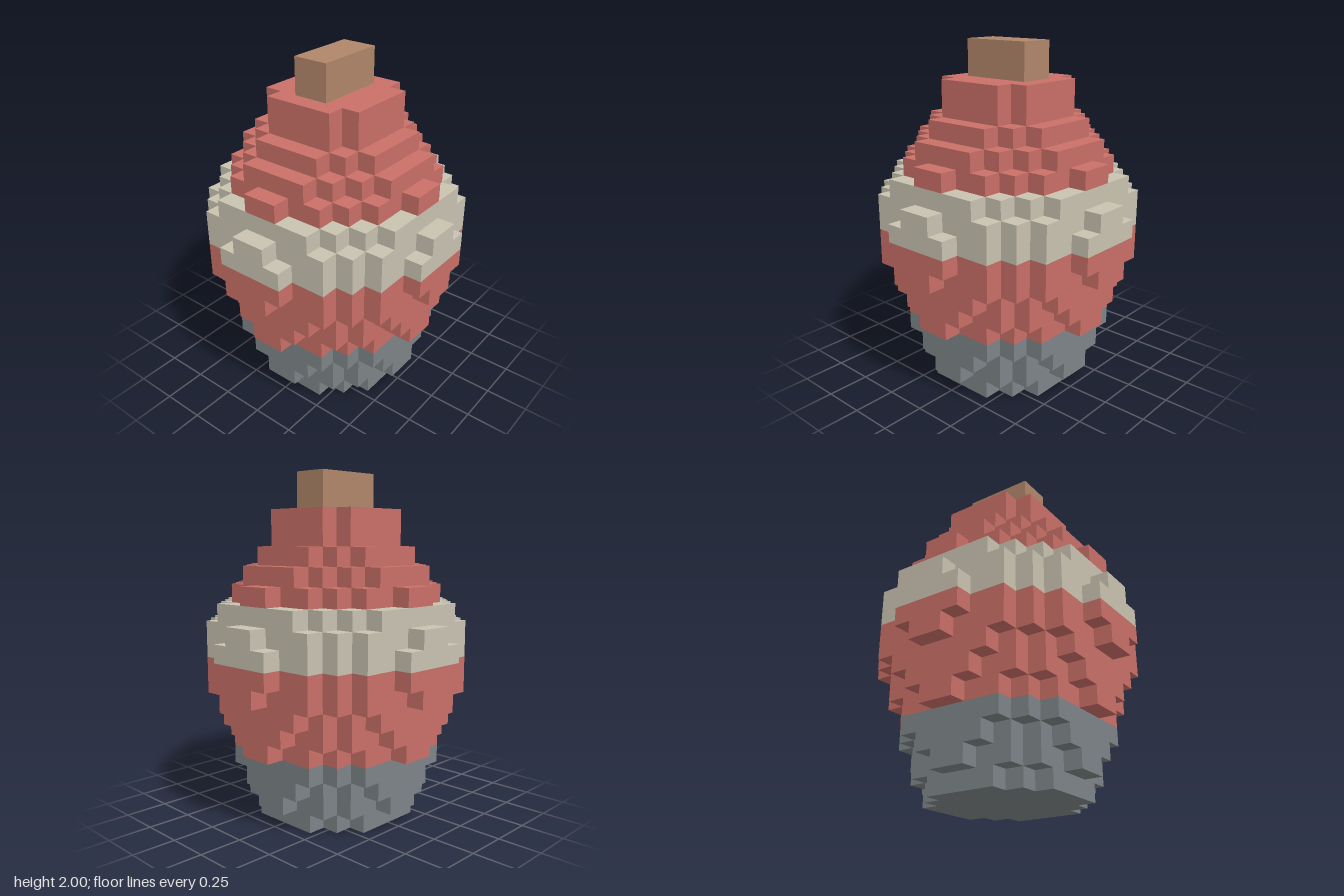
import * as THREE from 'three';

const U = 2 / 19; // edge length of one block

// Stepped disc outline: every block whose centre lies within the squared radius
function discShape(r2) {
  const depth = [];
  for (let i = 0; ; i++) {
    let d = 0;
    while ((i + 0.5) ** 2 + (d + 0.5) ** 2 <= r2) d++;
    if (!d) break;
    depth.push(d);
  }
  const corners = [];
  depth.forEach((d, i) => {
    if (i > 0 && d !== depth[i - 1]) corners.push([i, d]);
    if (d !== depth[i + 1]) corners.push([i + 1, d]);
  });
  // Turn the quarter outline round all four sides
  const points = [];
  let quarter = corners;
  for (let q = 0; q < 4; q++) {
    quarter.forEach(([x, y]) => points.push(new THREE.Vector2(x * U, y * U)));
    quarter = quarter.map(([x, y]) => [y, -x]);
  }
  return new THREE.Shape(points);
}

function material(name, color) {
  const m = new THREE.MeshStandardMaterial({ color });
  m.name = name;
  return m;
}

export function createModel() {
  const model = new THREE.Group();
  model.name = 'ornament';
  const red = material('red', 0xc96f67);
  const cream = material('cream', 0xc8c2b0);
  const grey = material('grey', 0x7d8487);
  const brown = material('brown', 0xb0866a);

  // Bands from the ground up: squared radius in blocks for each layer
  const bands = [
    ['base', grey, [15, 21, 23, 27]],
    ['lowerBody', red, [31, 33, 37, 43, 45]],
    ['middleBand', cream, [45, 43, 37]],
    ['upperBody', red, [31, 23, 15, 9, 9]],
  ];
  let level = 0;
  for (const [name, mat, radii] of bands) {
    const band = new THREE.Group();
    band.name = name;
    radii.forEach((r2, i) => {
      const geo = new THREE.ExtrudeGeometry(discShape(r2), { depth: U, bevelEnabled: false });
      geo.rotateX(-Math.PI / 2);
      const layer = new THREE.Mesh(geo, mat);
      layer.name = `${name}Layer${i + 1}`;
      layer.position.y = level++ * U;
      band.add(layer);
    });
    model.add(band);
  }

  // Stem on top
  const stem = new THREE.Mesh(new THREE.BoxGeometry(4 * U, 2 * U, 2 * U), brown);
  stem.name = 'stem';
  stem.position.y = (level + 1) * U;
  model.add(stem);
  return model;
}
